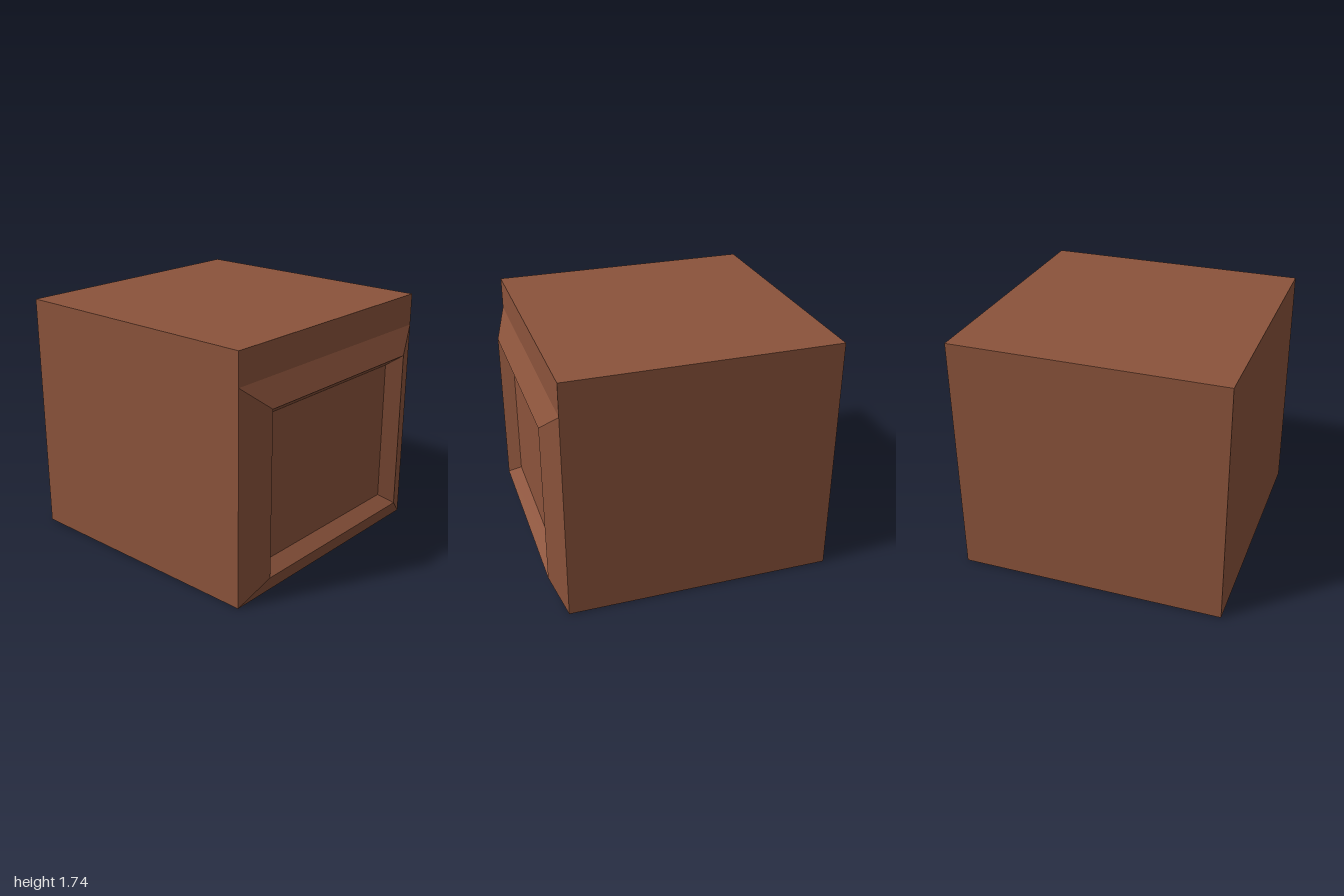
import * as THREE from 'three';

// Rectangle loop, counter-clockwise seen from the front
const rect = (halfWidth, bottom, top, z) => [
  [-halfWidth, bottom, z], [halfWidth, bottom, z],
  [halfWidth, top, z], [-halfWidth, top, z],
];

// Flat-faced bands joining successive rectangle loops, outermost first
function loftLoops(loops) {
  const positions = [];
  for (let i = 0; i < loops.length - 1; i++) {
    const outer = loops[i], inner = loops[i + 1];
    for (let j = 0; j < 4; j++) {
      const k = (j + 1) % 4;
      positions.push(...outer[j], ...outer[k], ...inner[k]);
      positions.push(...outer[j], ...inner[k], ...inner[j]);
    }
  }
  const geometry = new THREE.BufferGeometry();
  geometry.setAttribute('position', new THREE.Float32BufferAttribute(positions, 3));
  geometry.computeVertexNormals();
  return geometry;
}

export function createModel() {
  const group = new THREE.Group();
  group.name = 'cabinet';
  const wood = new THREE.MeshStandardMaterial({ color: 0x8b533b });
  wood.name = 'brown wood';

  const width = 1.91, height = 1.74, back = -1, front = 0.91;

  // Solid body; its front face is also the recessed panel
  const body = new THREE.Mesh(new THREE.BoxGeometry(width, height, front - back), wood);
  body.name = 'body';
  body.position.set(0, height / 2, (front + back) / 2);
  group.add(body);

  // Raised frame: wide outer slope up to a sharp rim, short slope back to the panel
  const frame = new THREE.Mesh(loftLoops([
    rect(width / 2, 0, 1.51, front),
    rect(0.74, 0.17, 1.34, 1),
    rect(0.652, 0.242, 1.271, front),
  ]), wood);
  frame.name = 'frontFrame';
  group.add(frame);

  return group;
}
